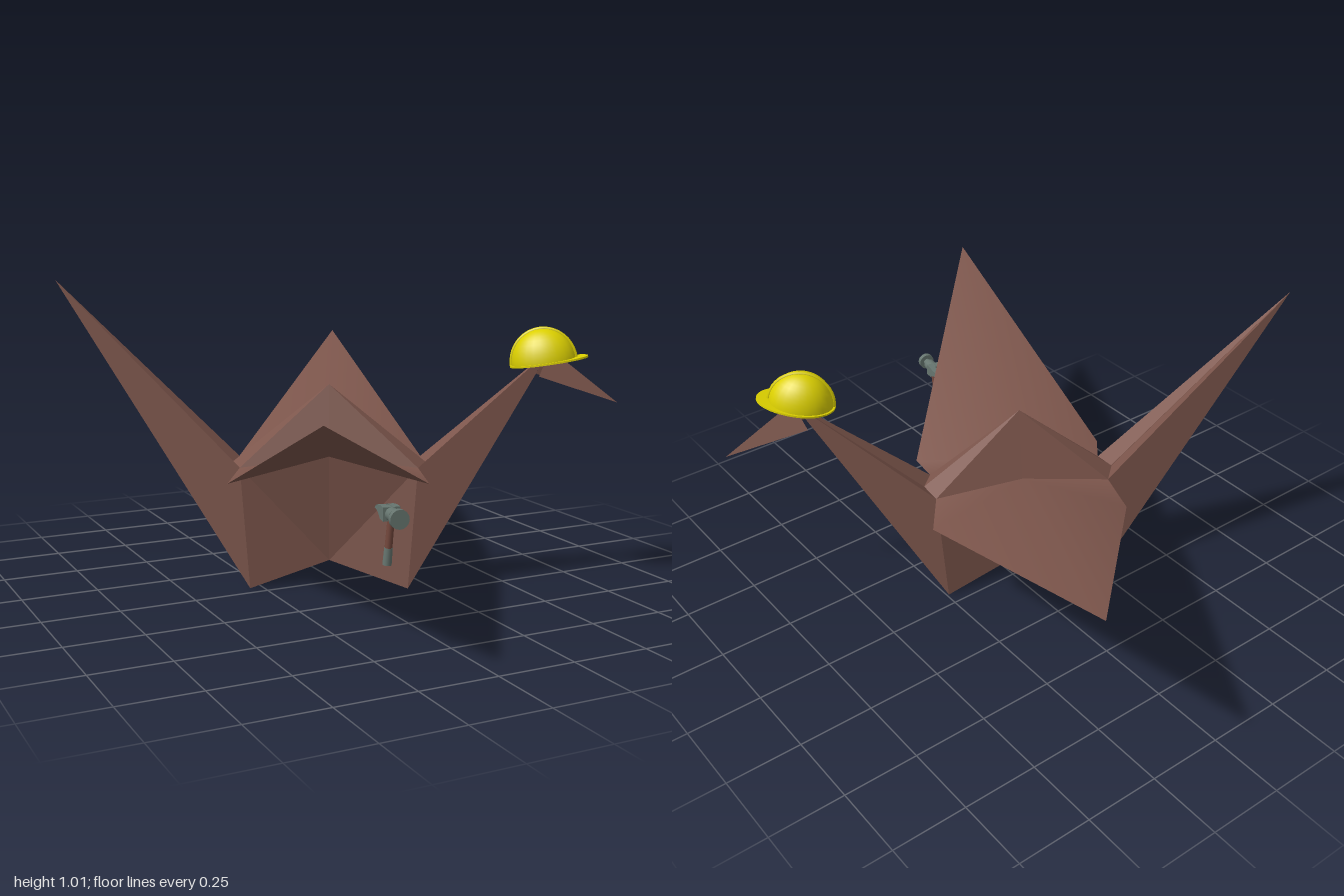
import * as THREE from 'three';

const mat = (name, color) => new THREE.MeshStandardMaterial({ name, color, side: THREE.DoubleSide });

function mesh(name, geometry, material, pos = [0, 0, 0]) {
  const m = new THREE.Mesh(geometry, material);
  m.name = name;
  m.position.set(...pos);
  return m;
}

// Flat folded sheets: each triangle lists three corner points.
function sheets(triangles) {
  const g = new THREE.BufferGeometry();
  g.setAttribute('position', new THREE.Float32BufferAttribute(triangles.flat(2), 3));
  g.computeVertexNormals();
  return g;
}

// Softly creased sheet: corners shared between triangles.
function softSheet(points, index) {
  const g = new THREE.BufferGeometry();
  g.setAttribute('position', new THREE.Float32BufferAttribute(points.flat(), 3));
  g.setIndex(index);
  g.computeVertexNormals();
  return g;
}

function buildBird(paper) {
  const bird = new THREE.Group();
  bird.name = 'paperBird';
  const peak = [0, 0.67, 0], keel = [0, 0.075, 0];
  const foot = (s, t) => [s * 0.26, 0, t * 0.078];
  const shoulder = (s, t) => [s * 0.29, 0.405, t * 0.07];
  const ridge = (s) => [s * 0.32, 0.41, 0];
  const waist = (t) => [0, 0.44, t * 0.06];
  const head = [0.72, 0.785, 0], tailTip = [-0.885, 1.01, 0];

  // Side panels, hump and wings
  for (const t of [1, -1]) {
    const panel = [], hump = [];
    for (const s of [1, -1]) {
      panel.push([keel, foot(s, t), shoulder(s, t)], [keel, shoulder(s, t), waist(t)]);
      hump.push([peak, waist(t), shoulder(s, t)], [peak, shoulder(s, t), ridge(s)]);
    }
    bird.add(mesh('bodySide', sheets(panel), paper), mesh('backHump', sheets(hump), paper));
    const wing = [
      waist(t), shoulder(1, t), [0.32, 0.38, t * 0.2],
      [0, 0.73, t * 1.12], [-0.32, 0.38, t * 0.2], shoulder(-1, t),
    ];
    bird.add(mesh(t > 0 ? 'frontWing' : 'backWing',
      softSheet(wing, [0, 2, 1, 0, 3, 2, 0, 4, 3, 0, 5, 4]), paper));
  }

  // Neck and tail: ridge above, sides, and a groove beneath
  for (const [name, s, tip] of [['neck', 1, head], ['tail', -1, tailTip]]) {
    const tris = [];
    for (const t of [1, -1]) {
      tris.push([foot(s, t), tip, shoulder(s, t)],
        [shoulder(s, t), tip, ridge(s)],
        [keel, tip, foot(s, t)]);
    }
    bird.add(mesh(name, sheets(tris), paper));
  }

  // Beak
  const beakTip = [0.943, 0.61, 0], chin = (t) => [0.68, 0.70, t * 0.035];
  bird.add(mesh('beak', sheets([1, -1].map((t) => [head, chin(t), beakTip])), paper));

  bird.rotation.y = -0.4636;
  bird.position.x = -0.025;
  return bird;
}

function buildHelmet(yellow) {
  const helmet = new THREE.Group();
  helmet.name = 'helmet';
  const dome = mesh('helmetDome', new THREE.SphereGeometry(1, 24, 10, 0, Math.PI * 2, 0, Math.PI / 2), yellow);
  dome.scale.set(0.103, 0.108, 0.08);
  const rim = mesh('helmetRim', new THREE.CylinderGeometry(1, 1, 0.006, 28), yellow);
  rim.scale.set(0.109, 1, 0.086);

  // Brim reaching forward over the beak, as a half ring
  const brimShape = new THREE.Shape();
  brimShape.absellipse(0, 0, 0.142, 0.086, -Math.PI / 2, Math.PI / 2, false, 0);
  brimShape.absellipse(0, 0, 0.09, 0.07, Math.PI / 2, -Math.PI / 2, true, 0);
  const brimGeo = new THREE.ExtrudeGeometry(brimShape, { depth: 0.006, bevelEnabled: false, curveSegments: 16 });
  const brim = mesh('helmetBrim', brimGeo.rotateX(Math.PI / 2), yellow, [0, 0.003, 0]);

  // Crest running along the crown
  const crest = mesh('helmetCrest', new THREE.TorusGeometry(1, 0.06, 6, 20, Math.PI), yellow);
  crest.scale.set(0.103, 0.108, 0.12);
  helmet.add(dome, rim, brim, crest);
  helmet.position.set(0.57, 0.75, 0.355);
  helmet.rotation.set(0, -0.64, 0.16);
  return helmet;
}

function buildHammer(steel, wood) {
  const hammer = new THREE.Group();
  hammer.name = 'hammer';
  const rod = (name, r0, r1, len, material, pos) => mesh(name, new THREE.CylinderGeometry(r0, r1, len, 16), material, pos);
  // Striking end along +z
  for (const [name, r, len, z] of [['hammerFace', 0.028, 0.016, 0.07], ['hammerNeck', 0.013, 0.025, 0.052], ['hammerHead', 0.02, 0.06, 0.012]]) {
    const part = rod(name, r, r, len, steel, [0, 0, z]);
    part.rotation.x = Math.PI / 2;
    hammer.add(part);
  }

  // Two curved claws
  const side = new THREE.Shape();
  side.moveTo(-0.01, 0.02);
  side.quadraticCurveTo(0.05, 0.025, 0.087, -0.002);
  side.quadraticCurveTo(0.045, 0.005, 0.02, -0.017);
  side.lineTo(-0.01, -0.02);
  for (const s of [1, -1]) {
    const geo = new THREE.ExtrudeGeometry(side, { depth: 0.022, bevelEnabled: false, curveSegments: 8 });
    geo.translate(0, 0, -0.011).rotateY(Math.PI / 2);
    const p = geo.attributes.position;
    // Narrow each claw toward its tip
    for (let i = 0; i < p.count; i++) {
      const k = Math.max(0, -p.getZ(i) / 0.087);
      p.setX(i, p.getX(i) * (1 - 0.75 * k * k));
    }
    geo.computeVertexNormals();
    hammer.add(mesh('hammerClaw', geo, steel, [s * 0.014, 0, 0]));
  }

  // Handle and metal end
  const handle = new THREE.Group();
  handle.name = 'hammerHandle';
  handle.add(rod('handleShaft', 0.01, 0.011, 0.1, wood, [0, -0.05, 0]));
  handle.add(rod('handleEnd', 0.012, 0.013, 0.05, steel, [0, -0.123, 0]));
  handle.rotation.set(0.09, 0, -0.05);
  handle.position.z = 0.008;
  hammer.add(handle);
  hammer.position.set(-0.197, 0.418, 0.742);
  hammer.rotation.y = -0.16;
  return hammer;
}

export function createModel() {
  const paper = mat('brownPaper', 0x7d564c);
  const yellow = mat('helmetYellow', 0xdcd000);
  const steel = mat('greySteel', 0x66756f);
  const wood = mat('handleWood', 0x74483d);
  const model = new THREE.Group();
  model.name = 'paperBirdWithHelmet';
  model.add(buildBird(paper), buildHelmet(yellow), buildHammer(steel, wood));
  return model;
}
